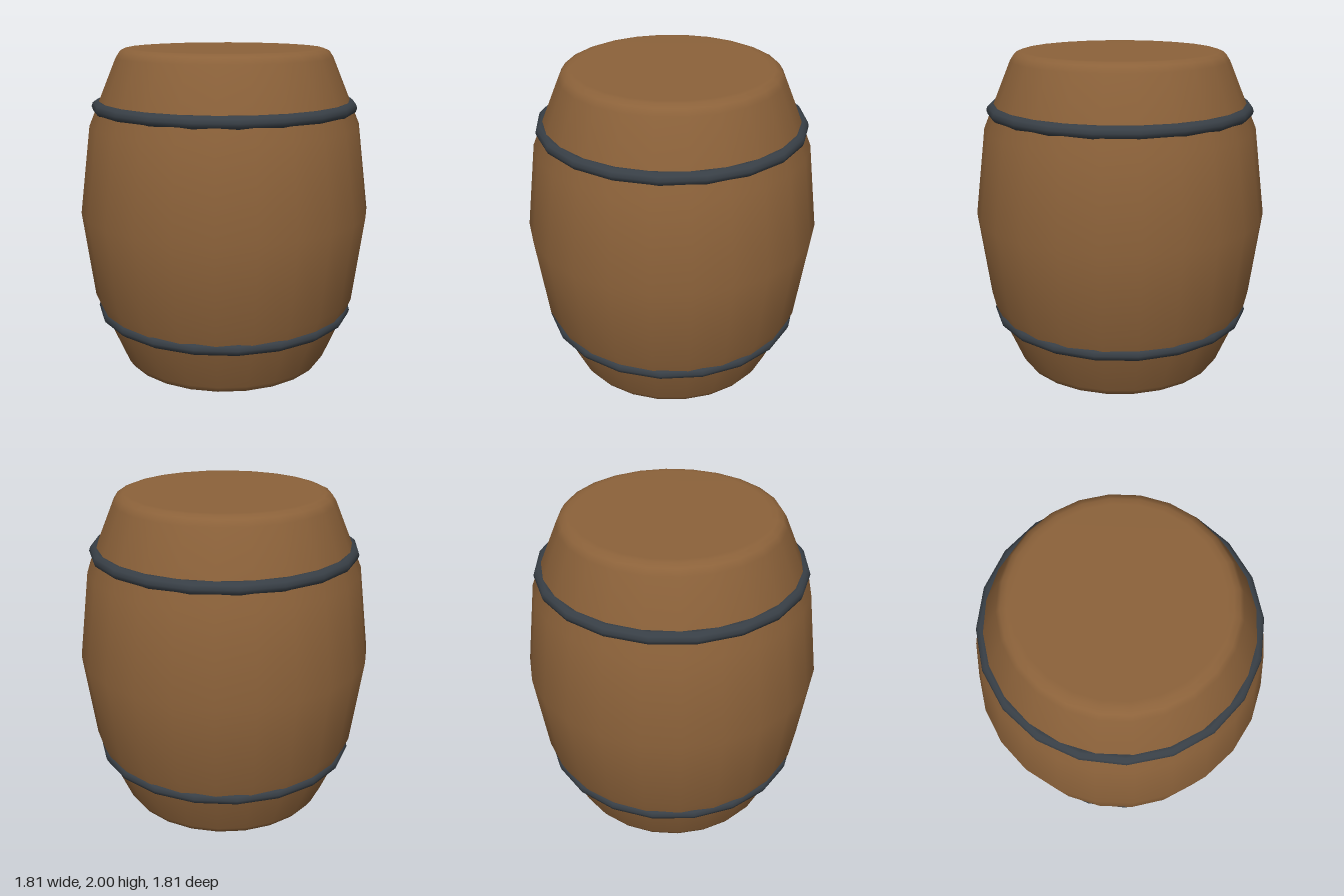
import * as THREE from 'three';

export function createModel() {
  const barrel = new THREE.Group();
  barrel.name = 'barrel';

  const wood = new THREE.MeshStandardMaterial({ color: 0x8c623a });
  wood.name = 'brown wood';
  const iron = new THREE.MeshStandardMaterial({ color: 0x383f46 });
  iron.name = 'dark iron';

  // Lower half of the profile (radius, height); the upper half mirrors it
  const lower = [[0, 0], [0.57, 0], [0.605, 0.002], [0.64, 0.017], [0.665, 0.055], [0.835, 0.46]];
  const upper = lower.map(([r, y]) => [r, 2 - y]).reverse();
  const profile = [...lower, [0.905, 1], ...upper].map(([r, y]) => new THREE.Vector2(r, y));

  // Bulging wooden body with closed, softly rounded ends
  const body = new THREE.Mesh(new THREE.LatheGeometry(profile, 24), wood);
  body.name = 'body';
  barrel.add(body);

  // Two iron hoops
  for (const [name, y] of [['lowerHoop', 0.355], ['upperHoop', 1.65]]) {
    const geometry = new THREE.TorusGeometry(0.778, 0.04, 10, 20).rotateX(Math.PI / 2);
    const hoop = new THREE.Mesh(geometry, iron);
    hoop.name = name;
    hoop.position.y = y;
    barrel.add(hoop);
  }

  return barrel;
}
